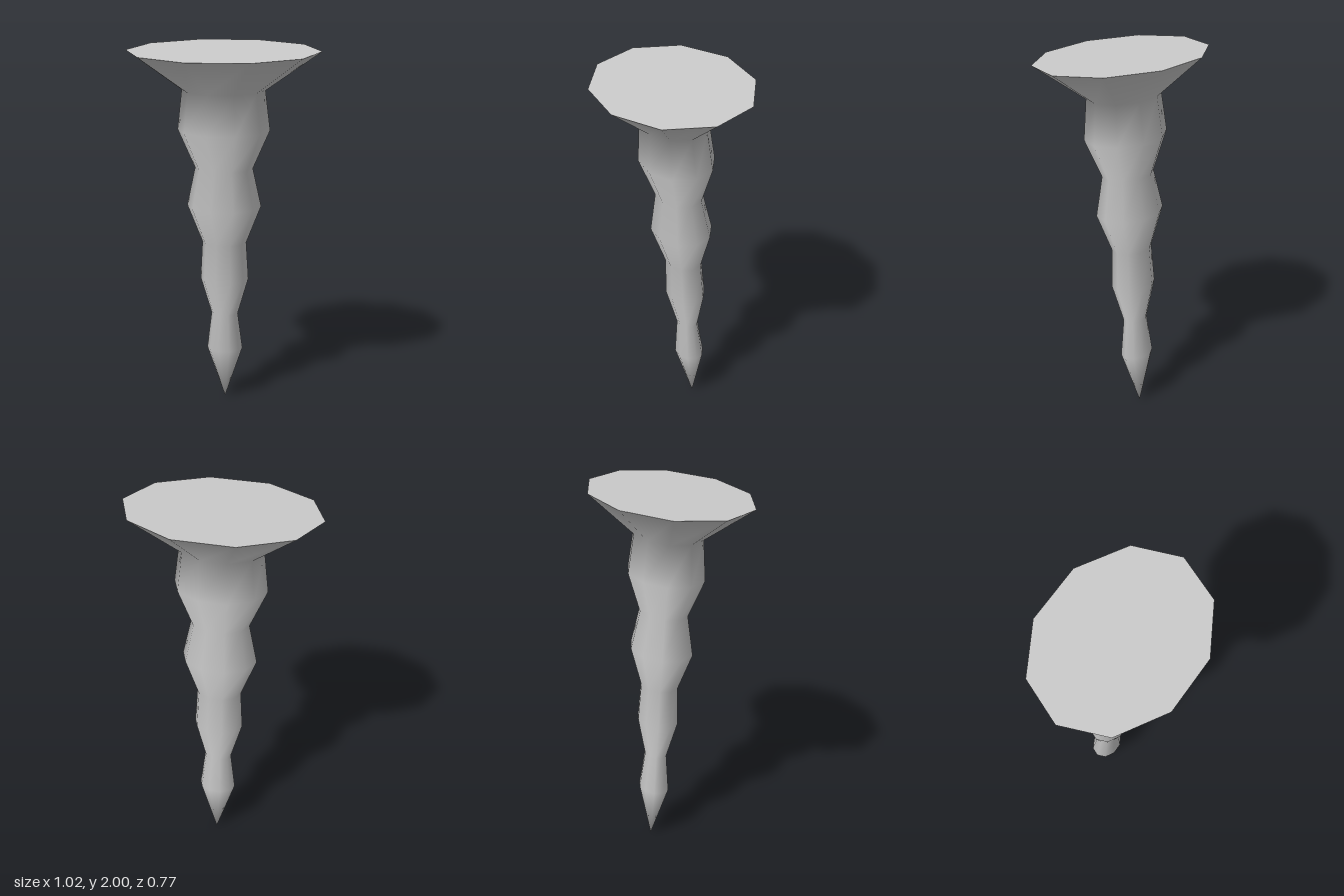
import * as THREE from 'three';

const SIDES = 10;

// Cross-sections from the top down: [height, half width, front z, back z, tilt]
const SECTIONS = [
  [1.98, 0.51, 0.383, -0.383, 0.02],
  [1.775, 0.22, 0.152, -0.174, 0.006],
  [1.563, 0.245, 0.157, -0.206, 0.007],
  [1.354, 0.155, 0.075, -0.154, 0.004],
  [1.144, 0.2, 0.097, -0.204, 0.006],
  [0.935, 0.12, 0.022, -0.158, 0.003],
  [0.724, 0.132, 0.018, -0.178, 0.004],
  [0.515, 0.073, -0.041, -0.147, 0.002],
  [0.306, 0.099, -0.034, -0.18, 0.003],
];
const TIP = [0, 0, -0.13];

// One ten-sided oval ring, rising towards the back by its tilt
function ring([y, halfWidth, front, back, tilt]) {
  const points = [];
  const centre = (front + back) / 2;
  const depth = (front - back) / 2 / Math.sin(Math.PI * 0.4);
  for (let j = 0; j < SIDES; j++) {
    const a = (j / SIDES) * Math.PI * 2;
    const s = Math.sin(a);
    points.push([halfWidth * Math.cos(a), y - (tilt * s) / Math.sin(Math.PI * 0.4), centre + depth * s]);
  }
  return points;
}

function buildMesh(name, points, index, material) {
  const geometry = new THREE.BufferGeometry();
  geometry.setAttribute('position', new THREE.Float32BufferAttribute(points.flat(), 3));
  geometry.setIndex(index);
  geometry.computeVertexNormals();
  const mesh = new THREE.Mesh(geometry, material);
  mesh.name = name;
  return mesh;
}

export function createModel() {
  const group = new THREE.Group();
  group.name = 'stalactite';
  const material = new THREE.MeshStandardMaterial({ color: 0xcccccc });

  // Smooth wavy spike, closed by a single point at the bottom
  const points = SECTIONS.flatMap(ring);
  const tip = points.push(TIP) - 1;
  const index = [];
  SECTIONS.forEach((_, i) => {
    for (let j = 0; j < SIDES; j++) {
      const k = (j + 1) % SIDES;
      const a = i * SIDES + j;
      const b = i * SIDES + k;
      if (i === SECTIONS.length - 1) index.push(a, b, tip);
      else index.push(a, b, b + SIDES, a, b + SIDES, a + SIDES);
    }
  });
  group.add(buildMesh('spike', points, index, material));

  // Flat, slightly tilted cap
  const rim = ring(SECTIONS[0]);
  const fan = [];
  for (let j = 1; j < SIDES - 1; j++) fan.push(0, j + 1, j);
  group.add(buildMesh('topCap', rim, fan, material));

  return group;
}
